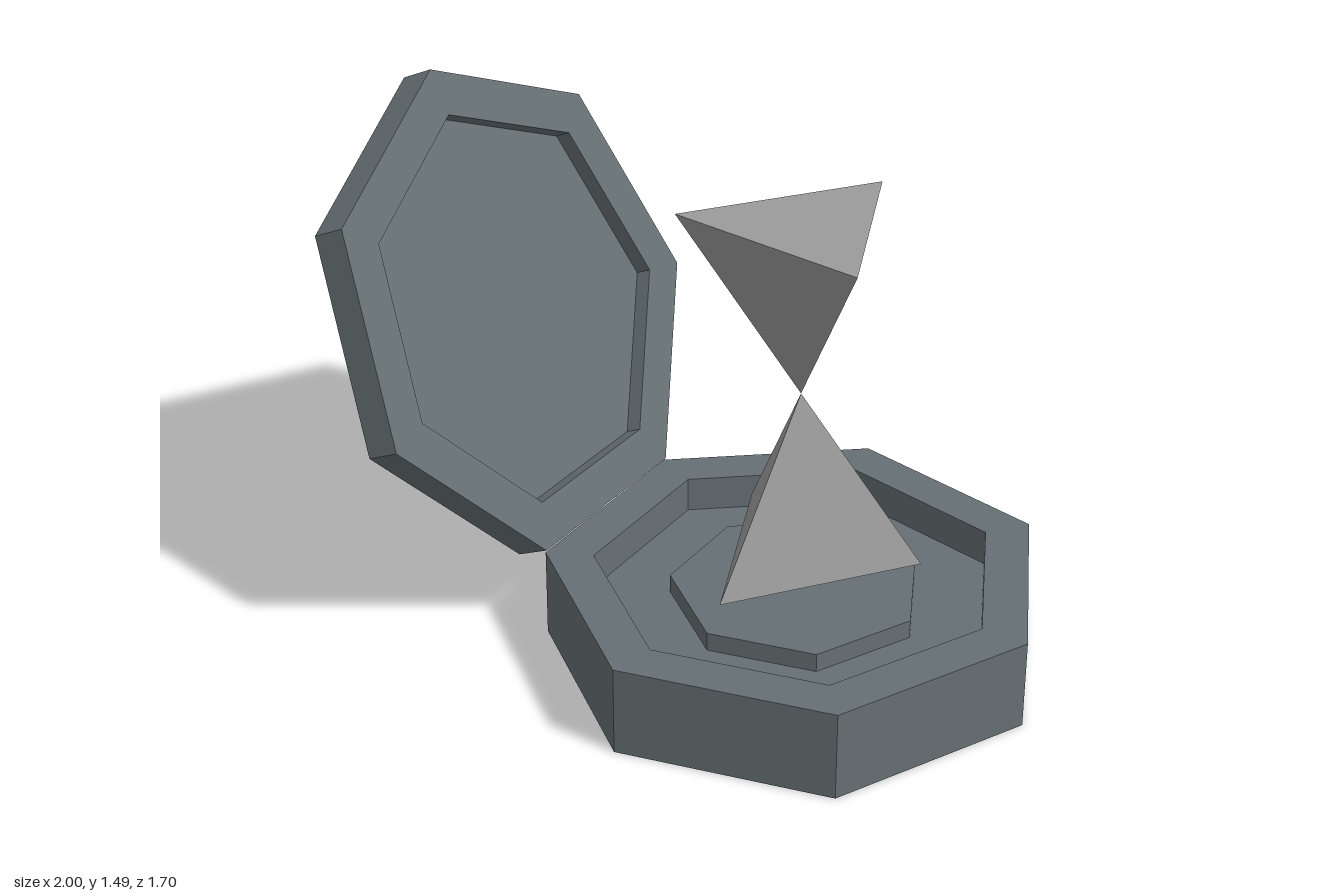
import * as THREE from 'three';

const SIDES = 7;
const slate = new THREE.MeshStandardMaterial({ color: 0x667074 });
slate.name = 'slate';
const crystalGrey = new THREE.MeshStandardMaterial({ color: 0x9b9b9b });
crystalGrey.name = 'crystalGrey';

// Gives every facet its own normal
function faceted(geometry) {
  const g = geometry.toNonIndexed();
  g.computeVertexNormals();
  return g;
}

// Seven-sided turned form; profile runs from the bottom outwards and up
function heptagon(name, profile, phi, smooth = false) {
  const points = profile.map(([r, y]) => new THREE.Vector2(r, y));
  const geometry = new THREE.LatheGeometry(points, SIDES, phi);
  const mesh = new THREE.Mesh(smooth ? geometry : faceted(geometry), slate);
  mesh.name = name;
  return mesh;
}

export function createModel() {
  const model = new THREE.Group();
  model.name = 'openCaseWithCrystals';
  const outer = 0.714, inner = 0.577;

  // Base: tray with a recess and a low pedestal
  const base = new THREE.Group();
  base.name = 'base';
  base.position.set(0.34, 0, 0.16);
  const turn = THREE.MathUtils.degToRad(170.2);
  base.add(
    heptagon('tray', [[0, 0], [outer, 0], [outer, 0.265], [inner, 0.265], [inner, 0.16], [0, 0.16]], turn),
    heptagon('pedestal', [[0.36, 0.16], [0.36, 0.215], [0, 0.215]], turn),
  );
  model.add(base);

  // Lid: hinged open along one edge; local +y is its inner face, +z points to its top corner
  const lid = new THREE.Group();
  lid.name = 'lid';
  const inward = new THREE.Vector3(0.832, 0.427, 0.354).normalize();
  const up = new THREE.Vector3(-0.393, 0.904, -0.167);
  const side = new THREE.Vector3().crossVectors(inward, up).normalize();
  up.crossVectors(side, inward);
  lid.quaternion.setFromRotationMatrix(new THREE.Matrix4().makeBasis(side, inward, up));
  lid.position.set(-0.504, 0.849, -0.202);
  lid.add(
    heptagon('lidRim', [[outer, -0.105], [outer, 0], [inner, 0], [inner, -0.05], [0, -0.05]], 0),
    heptagon('lidDome', [[0, -0.367], [0.347, -0.367], [outer, -0.105]], 0, true),
  );
  model.add(lid);

  // Two three-sided crystals meeting tip to tip above the pedestal
  const height = 0.507;
  for (const [name, y, roll] of [['lowerCrystal', 0.574, 0], ['upperCrystal', 1.081, Math.PI]]) {
    const geometry = faceted(new THREE.ConeGeometry(0.345, height, 3, 1, false, Math.PI / 2));
    const crystal = new THREE.Mesh(geometry, crystalGrey);
    crystal.name = name;
    crystal.position.set(0.34, y, 0.17);
    crystal.rotation.z = roll;
    model.add(crystal);
  }
  return model;
}
